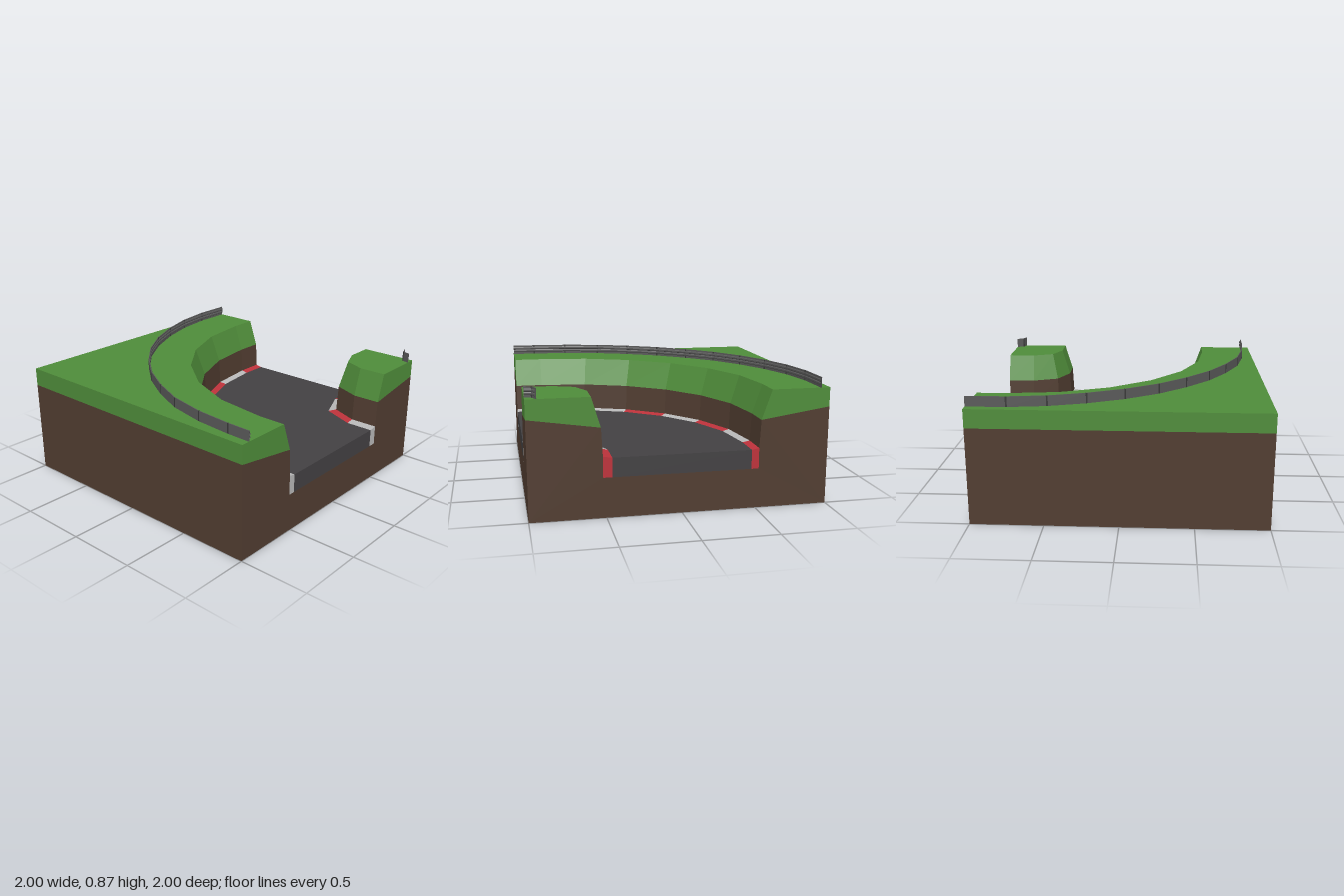
import * as THREE from 'three';

const mat = (color) => new THREE.MeshStandardMaterial({ color, side: THREE.DoubleSide, flatShading: true });
const V = (x, y, z) => new THREE.Vector3(x, y, z);

export function createModel() {
  const model = new THREE.Group();
  const grass = mat(0x4f8c3a), soil = mat(0x513d31), asphalt = mat(0x434143);
  const red = mat(0xbd323b), white = mat(0xb8b8b8), steel = mat(0x5a5a5a), post = mat(0x3a3a3a);

  const add = (name, geometry, material, parent = model) => {
    const mesh = new THREE.Mesh(geometry, material);
    mesh.name = name;
    parent.add(mesh);
    return mesh;
  };

  // Quad strip between two matching rows of points
  const strip = (a, b) => {
    const pos = [];
    for (let i = 0; i < a.length - 1; i++)
      for (const p of [a[i], a[i + 1], b[i + 1], a[i], b[i + 1], b[i]]) pos.push(p.x, p.y, p.z);
    const g = new THREE.BufferGeometry();
    g.setAttribute('position', new THREE.Float32BufferAttribute(pos, 3));
    g.computeVertexNormals();
    return g;
  };

  // Corner path: short straight, quarter arc about (0.8, 0.8) in n steps, short straight
  const C = 0.8;
  const path = (r, y, n) => {
    const pts = [V(C - r, y, 1)];
    for (let i = 0; i <= n; i++) {
      const t = (i / n) * Math.PI / 2;
      pts.push(V(C - r * Math.cos(t), y, C - r * Math.sin(t)));
    }
    pts.push(V(1, y, C - r));
    return pts;
  };

  // Horizontal polygon from points that share one height
  const flat = (pts) => {
    const g = new THREE.ShapeGeometry(new THREE.Shape(pts.map((p) => new THREE.Vector2(p.x, -p.z))));
    return g.rotateX(-Math.PI / 2).translate(0, pts[0].y, 0);
  };

  const OUT = 6, IN = 2, ROAD = 0.4, KERB = 0.41, LIP = 0.6, TOP = 0.8, BASE = 0.27;

  // Road surface
  add('road', flat([...path(1.27, ROAD, OUT), ...path(0.34, ROAD, IN).reverse()]), asphalt);

  // Banks: soil wall, grass slope, grass top
  add('outerSoilWall', strip(path(1.32, KERB, OUT), path(1.33, LIP, OUT)), soil);
  add('outerGrassSlope', strip(path(1.33, LIP, OUT), path(1.4, TOP, OUT)), grass);
  add('outerGrassTop', flat([...path(1.4, TOP, OUT), V(1, TOP, -1), V(-1, TOP, -1), V(-1, TOP, 1)]), grass);
  add('islandSoilWall', strip(path(0.27, LIP, IN), path(0.28, KERB, IN)), soil);
  add('islandGrassSlope', strip(path(0.21, TOP, IN), path(0.27, LIP, IN)), grass);
  add('islandGrassTop', flat([...path(0.21, TOP, IN), V(1, TOP, 1)]), grass);

  // Kerbs in alternating colours
  const kerb = (name, a, b) => {
    const g = new THREE.Group();
    g.name = name;
    model.add(g);
    for (let i = 0; i < a.length - 1; i++)
      add('kerbBlock', strip(a.slice(i, i + 2), b.slice(i, i + 2)), i % 2 ? red : white, g);
  };
  kerb('outerKerb', path(1.27, ROAD, OUT), path(1.32, KERB, OUT));
  kerb('islandKerb', path(0.28, KERB, IN), path(0.34, ROAD, IN));

  // Cut faces at the two open sides (front and right)
  const cut = (prefix, side, kerbMat) => {
    const face = (name, material, pts) => {
      const s = new THREE.Shape(pts.map(([u, y]) => new THREE.Vector2(side ? -u : u, y)));
      const g = new THREE.ShapeGeometry(s).translate(0, 0, 1);
      if (side) g.rotateY(Math.PI / 2);
      add(prefix + name, g, material);
    };
    const rect = (u0, u1, h0, h1) => [[u0, BASE], [u1, BASE], [u1, h1], [u0, h0]];
    face('SoilFace', soil, [[-1, 0], [1, 0], [1, 0.67], [0.53, LIP], [0.52, KERB], [0.52, BASE],
      [-0.52, BASE], [-0.52, KERB], [-0.53, LIP], [-1, 0.67]]);
    face('OuterGrassFace', grass, [[-1, 0.67], [-0.53, LIP], [-0.6, TOP], [-1, TOP]]);
    face('IslandGrassFace', grass, [[0.53, LIP], [1, 0.67], [1, TOP], [0.59, TOP]]);
    face('RoadEnd', asphalt, rect(-0.47, 0.46, ROAD, ROAD));
    face('OuterKerbEnd', kerbMat, rect(-0.52, -0.47, KERB, ROAD));
    face('IslandKerbEnd', kerbMat, rect(0.46, 0.52, ROAD, KERB));
  };
  cut('front', false, white);
  cut('right', true, red);

  // Plain back and left walls; the underside stays open
  const ring = (y) => [V(1, y, -1), V(-1, y, -1), V(-1, y, 1)];
  add('backLeftSoil', strip(ring(0), ring(0.67)), soil);
  add('backLeftGrass', strip(ring(0.67), ring(TOP)), grass);

  // Guard rails: ribbed beam swept along the bank, with a post at each joint
  const section = [[0.004, 0.87], [0.004, 0.8], [-0.002, 0.8], [-0.002, 0.815], [-0.007, 0.82],
    [-0.007, 0.83], [-0.002, 0.836], [-0.007, 0.842], [-0.007, 0.852], [-0.002, 0.858], [-0.002, 0.87]];
  const rail = (name, pts, c) => {
    const g = new THREE.Group();
    g.name = name;
    model.add(g);
    const row = ([off, y]) => pts.map(([x, z], i) => {
      const d = new THREE.Vector2(x - c, z - c).normalize();
      // keep both ends flush with the open sides
      if (i === 0) d.set(-1, 0);
      if (i === pts.length - 1) d.set(0, -1);
      return V(x + d.x * off, y, z + d.y * off);
    });
    section.forEach((p, i) => add('railBeam', strip(row(p), row(section[(i + 1) % section.length])), steel, g));
    pts.slice(1, -1).forEach(([x, z]) => {
      const m = add('railPost', new THREE.BoxGeometry(0.008, 0.07, 0.012), post, g);
      m.position.set(x, 0.835, z);
      m.rotation.y = Math.atan2(c - z, x - c);
    });
  };
  rail('outerGuardRail', [[-0.935, 1], [-0.932, 0.83], [-0.91, 0.57], [-0.85, 0.3], [-0.745, 0.06],
    [-0.61, -0.17], [-0.44, -0.375], [-0.25, -0.555], [-0.025, -0.705], [0.22, -0.82], [0.47, -0.898],
    [0.73, -0.935], [1, -0.935]], 0.87);
  rail('islandGuardRail', [[0.935, 1], [0.95, 0.95], [1, 0.93]], 1.05);

  return model;
}
